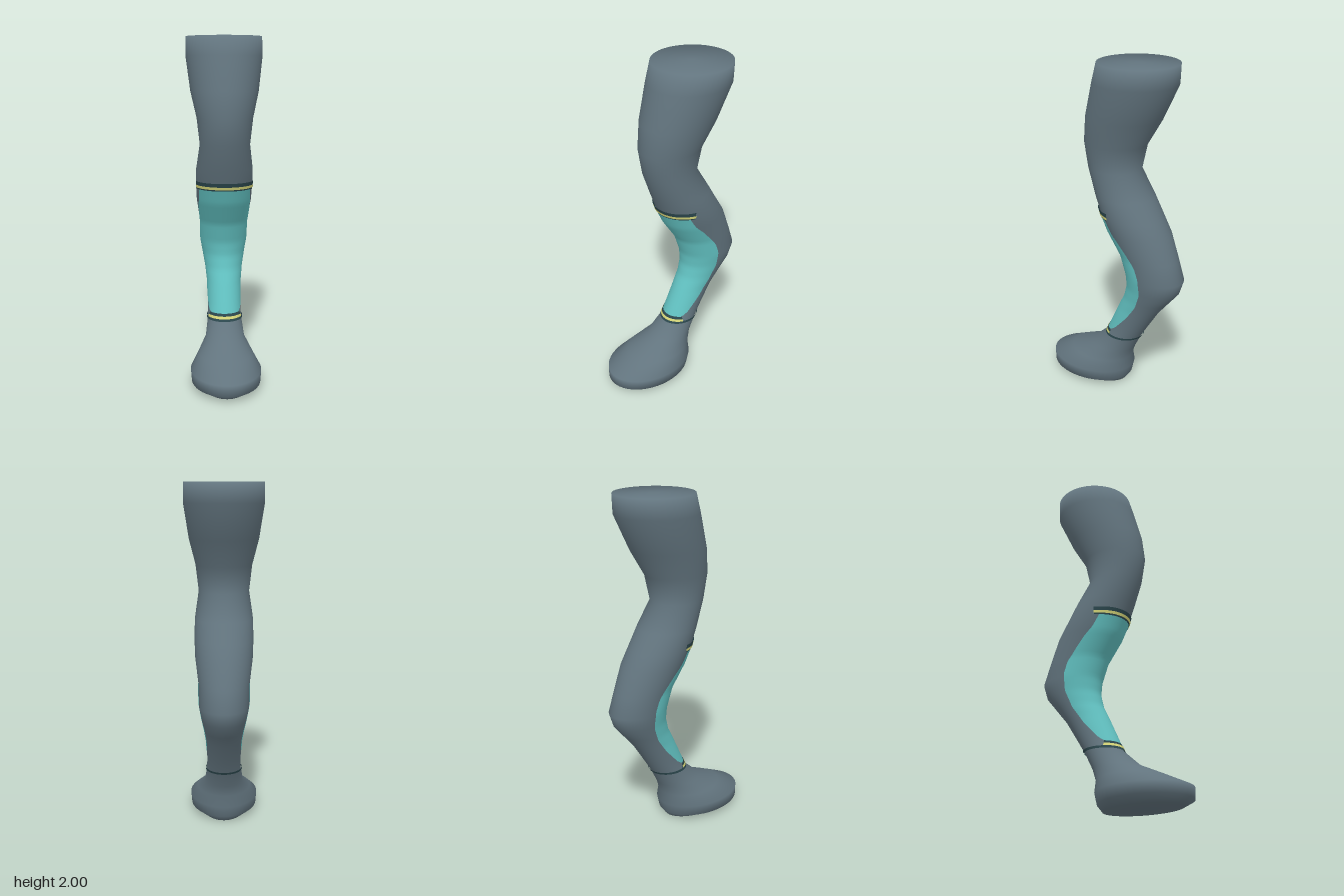
import * as THREE from 'three';

// Horizontal elliptical sections: [height, front z, back z, half width]
const SECTIONS = [
  [0, 0.4, -0.06, 0.135], [0.035, 0.455, -0.085, 0.2], [0.1, 0.455, -0.1, 0.205],
  [0.17, 0.31, -0.095, 0.16], [0.24, 0.16, -0.12, 0.115], [0.34, 0.05, -0.17, 0.1],
  [0.42, 0.015, -0.22, 0.098], [0.54, -0.04, -0.295, 0.1], [0.62, -0.08, -0.36, 0.11],
  [0.7, -0.1, -0.425, 0.125], [0.78, -0.095, -0.45, 0.14], [0.9, -0.055, -0.41, 0.143],
  [1.04, 0.035, -0.355, 0.163], [1.13, 0.075, -0.3, 0.167], [1.24, 0.115, -0.235, 0.166],
  [1.39, 0.17, -0.145, 0.145], [1.54, 0.195, -0.18, 0.162], [1.69, 0.175, -0.27, 0.197],
  [1.89, 0.12, -0.365, 0.224], [2, 0.087, -0.368, 0.222],
];
// Rear edge of the inset panel: [height, z]
const PANEL_EDGE = [
  [0.37, 0], [0.4, -0.05], [0.5, -0.14], [0.6, -0.21], [0.7, -0.25], [0.8, -0.25],
  [0.87, -0.225], [0.94, -0.17], [1, -0.12], [1.05, -0.07], [1.08, -0.05], [1.13, -0.02],
];

// Linear interpolation in a table sorted by its first column
function sample(table, y) {
  let i = 1;
  while (i < table.length - 1 && table[i][0] < y) i++;
  const a = table[i - 1], b = table[i];
  const t = THREE.MathUtils.clamp((y - a[0]) / (b[0] - a[0]), 0, 1);
  return a.map((v, k) => v + (b[k] - v) * t);
}

// Point on the leg surface; angle 0 faces the front
function surfacePoint(y, angle, offset = 0) {
  const [, front, back, half] = sample(SECTIONS, y);
  return [Math.sin(angle) * (half + offset), y,
    (front + back) / 2 + Math.cos(angle) * ((front - back) / 2 + offset)];
}

function build(positions, indices) {
  const g = new THREE.BufferGeometry();
  g.setAttribute('position', new THREE.Float32BufferAttribute(positions, 3));
  g.setIndex(indices);
  g.computeVertexNormals();
  return g;
}

// Closed loft with softly shaded end caps
function legGeometry(n = 48) {
  const pos = [], idx = [], last = SECTIONS.length - 1;
  SECTIONS.forEach(([y], r) => {
    for (let i = 0; i < n; i++) pos.push(...surfacePoint(y, (i / n) * Math.PI * 2));
    if (r === last) return;
    for (let i = 0; i < n; i++) {
      const a = r * n + i, b = r * n + (i + 1) % n;
      idx.push(a, b, b + n, a, b + n, a + n);
    }
  });
  const bottom = pos.length / 3, top = bottom + 1;
  for (const s of [SECTIONS[0], SECTIONS[last]]) pos.push(0, s[0], (s[1] + s[2]) / 2);
  for (let i = 0; i < n; i++) {
    const j = (i + 1) % n;
    idx.push(bottom, j, i, top, last * n + i, last * n + j);
  }
  return build(pos, idx);
}

// Thin shell over the front of the leg, reaching back to z = edge(y)
function shellGeometry(y0, y1, offset, edge, rows, cols = 40) {
  const pos = [], idx = [], w = cols + 1;
  for (let r = 0; r <= rows; r++) {
    const y = y0 + (y1 - y0) * r / rows;
    const [, front, back] = sample(SECTIONS, y);
    const c = (edge(y) - (front + back) / 2) / ((front - back) / 2);
    const limit = Math.acos(THREE.MathUtils.clamp(c, -1, 1));
    for (let i = 0; i <= cols; i++) {
      pos.push(...surfacePoint(y, (i / cols * 2 - 1) * limit, offset));
      if (r < rows && i < cols) {
        const a = r * w + i;
        idx.push(a, a + 1, a + w + 1, a, a + w + 1, a + w);
      }
    }
  }
  return build(pos, idx);
}

export function createModel() {
  const group = new THREE.Group();
  group.name = 'leg';
  const material = (name, color) => {
    const m = new THREE.MeshStandardMaterial({ color, side: THREE.DoubleSide });
    m.name = name;
    return m;
  };
  const slate = material('slate', 0x62747e);
  const teal = material('teal', 0x62c2c2);
  const dark = material('dark teal', 0x2c484e);
  const yellow = material('pale yellow', 0xd8d87a);

  const add = (name, geometry, mat) => {
    const mesh = new THREE.Mesh(geometry, mat);
    mesh.name = name;
    group.add(mesh);
  };

  add('legAndFoot', legGeometry(), slate);
  add('shinPanel', shellGeometry(0.37, 1.13, 0.004, y => sample(PANEL_EDGE, y)[1], 40), teal);

  // Trim bands above and below the panel
  add('upperBand', shellGeometry(1.122, 1.168, 0.007, () => -0.05, 2), dark);
  add('upperStripe', shellGeometry(1.13, 1.146, 0.009, () => -0.052, 2), yellow);
  add('lowerBand', shellGeometry(0.336, 0.38, 0.006, () => -0.02, 2), dark);
  add('lowerStripe', shellGeometry(0.35, 0.365, 0.009, () => -0.02, 2), yellow);
  add('ankleRing', shellGeometry(0.336, 0.35, 0.006, () => -1, 1, 64), dark);

  return group;
}
